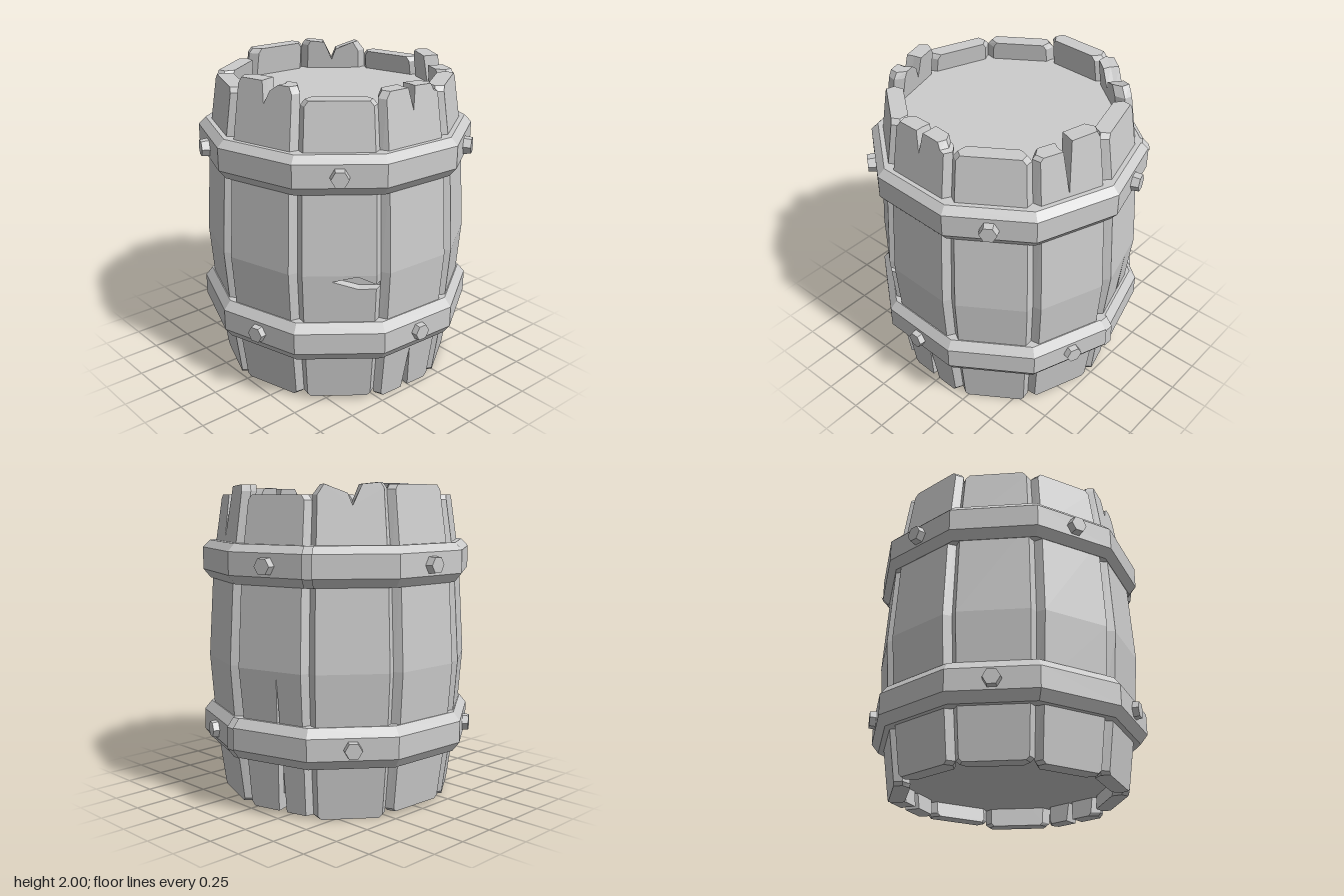
import * as THREE from 'three';

const DEG = Math.PI / 180;
const COUNT = 10;              // staves around the barrel
const STEP = 36 * DEG;
const START = -2.5 * DEG;      // direction of the front stave
const CORNER = START + STEP / 2;
const TAN = Math.tan(STEP / 2);

// barrel bulge: [height, distance from the axis to the stave face]
const BULGE = [[0, 0.715], [0.46, 0.775], [0.9, 0.807], [1.5, 0.772], [2, 0.7]];

function faceDistance(y, levels) {
  for (let i = 1; i < levels.length; i++) {
    const [y0, a0] = levels[i - 1], [y1, a1] = levels[i];
    if (y <= y1 || i === levels.length - 1) return a0 + (a1 - a0) * (y - y0) / (y1 - y0);
  }
}

const plain = (h) => [[-1, h - 0.03], [-0.88, h], [0.88, h], [1, h - 0.03]];
const plainBase = (h) => [[-1, h + 0.02], [-0.9, h], [0.9, h], [1, h + 0.02]];

// broken upper ends, across each stave from -1 to 1
const TOPS = {
  0: [[-1, 1.92], [-0.85, 1.96], [-0.15, 1.96], [0, 1.83], [0.12, 1.965], [0.75, 1.96], [0.85, 1.92], [1, 1.91]],
  2: [[-1, 1.9], [-0.9, 1.92], [-0.25, 1.92], [-0.1, 1.65], [0.05, 1.97], [0.9, 1.98], [1, 1.94]],
  4: [[-1, 1.92], [-0.8, 1.98], [-0.1, 1.93], [0.05, 1.86], [0.35, 1.98], [0.9, 1.99], [1, 1.96]],
  5: plain(1.98),
  8: [[-1, 1.96], [-0.9, 2], [-0.1, 2], [0, 1.87], [0.2, 1.95], [0.5, 1.99], [0.9, 1.99], [1, 1.95]],
};
// cracked lower ends
const BASES = {
  0: [[-1, 0.02], [-0.9, 0], [-0.12, 0], [0.02, 0.3], [0.16, 0], [0.9, 0], [1, 0.03]],
  1: plainBase(0),
  3: [[-1, 0.05], [-0.9, 0.02], [0.02, 0.02], [0.22, 0.9 - 0.02], [0.3, 0.02], [0.9, 0.02], [1, 0.02]],
  4: plainBase(0),
  7: plainBase(0.01),
};
// gouge in the edge of one stave
const CHIPS = { 9: [[1, 0.81], [0.5, 0.81], [-0.2, 0.86], [0.5, 0.892], [1, 0.84]] };

// flat outline, extruded and then wrapped to the bulge with chamfered long edges
function stavePart(points, levels) {
  const shape = new THREE.Shape(points.map(([x, y]) => new THREE.Vector2(x, y)));
  const geo = new THREE.ExtrudeGeometry(shape, { depth: 1, steps: 2, bevelEnabled: false });
  const p = geo.attributes.position;
  for (let i = 0; i < p.count; i++) {
    const depth = 1 - p.getZ(i);
    const r = faceDistance(p.getY(i), levels) - 0.1 * depth;
    const fill = depth < 0.25 ? 0.83 : depth < 0.75 ? 1 : 0.86;
    p.setXYZ(i, p.getX(i) * r * TAN * fill, p.getY(i), r);
  }
  geo.computeVertexNormals();
  return geo;
}

function makeStave(k, material) {
  const group = new THREE.Group();
  group.name = 'stave';
  const levels = k === 3 ? BULGE.filter((_, i) => i !== 1) : BULGE;
  const last = levels.length - 1;
  for (let i = 0; i < last; i++) {
    const y0 = levels[i][0], y1 = levels[i + 1][0];
    const bottom = i === 0 ? BASES[k] || plainBase(0.025) : [[-1, y0], [1, y0]];
    const top = i === last - 1 ? TOPS[k] || plain(1.92) : [[-1, y1], [1, y1]];
    const side = y1 === 0.9 && CHIPS[k] ? CHIPS[k] : [];
    const mesh = new THREE.Mesh(stavePart([...bottom, ...side, ...[...top].reverse()], levels), material);
    mesh.name = 'staveSection';
    group.add(mesh);
  }
  group.rotation.y = START + k * STEP;
  return group;
}

function ring(profile, segments, start, length) {
  return new THREE.LatheGeometry(profile.map(([r, y]) => new THREE.Vector2(r, y)), segments, start, length);
}

export function createModel() {
  const material = new THREE.MeshStandardMaterial({ color: 0xcccccc, flatShading: true });
  material.name = 'plain grey';
  const model = new THREE.Group();
  model.name = 'barrel';
  const add = (geo, name, parent = model) => {
    const mesh = new THREE.Mesh(geo, material);
    mesh.name = name;
    parent.add(mesh);
    return mesh;
  };

  // staves
  for (let k = 0; k < COUNT; k++) model.add(makeStave(k, material));

  // inner body with the recessed lid and base
  const coreLevels = [0.12, 0.46, 0.9, 1.5, 1.8];
  const core = coreLevels.map((y) => [(faceDistance(y, BULGE) - 0.06) / Math.cos(STEP / 2), y]);
  add(ring([[0, 0.12], ...core, [0, 1.8]], COUNT, CORNER, Math.PI * 2), 'lidAndBase');

  // hoops, each with a lapped seam and bolts on alternate staves
  const hoops = [
    { name: 'lowerHoop', r: 0.876, y: [0.335, 0.395, 0.53, 0.585], first: 0, boltY: 0.46, seam: 2 },
    { name: 'upperHoop', r: 0.866, y: [1.395, 1.45, 1.59, 1.635], first: 1, boltY: 1.515, seam: 3 },
  ];
  for (const h of hoops) {
    const group = new THREE.Group();
    group.name = h.name;
    model.add(group);
    const profile = [[0.76, h.y[0]], [h.r - 0.045, h.y[0]], [h.r, h.y[1]], [h.r, h.y[2]], [h.r - 0.045, h.y[3]], [0.74, h.y[3]]];
    add(ring(profile, COUNT, CORNER, Math.PI * 2), 'band', group);
    const lap = profile.map(([r, y]) => [r + 0.004, y]);
    add(ring(lap, 1, CORNER + h.seam * STEP - 1.5 * DEG, 4 * DEG), 'seam', group);
    for (let k = h.first; k < COUNT; k += 2) {
      const geo = new THREE.CylinderGeometry(0.052, 0.062, 0.09, 6);
      geo.rotateY(Math.PI / 6).rotateX(Math.PI / 2).translate(0, h.boltY, 0.827);
      add(geo, 'bolt', group).rotation.y = START + k * STEP;
    }
  }
  return model;
}
